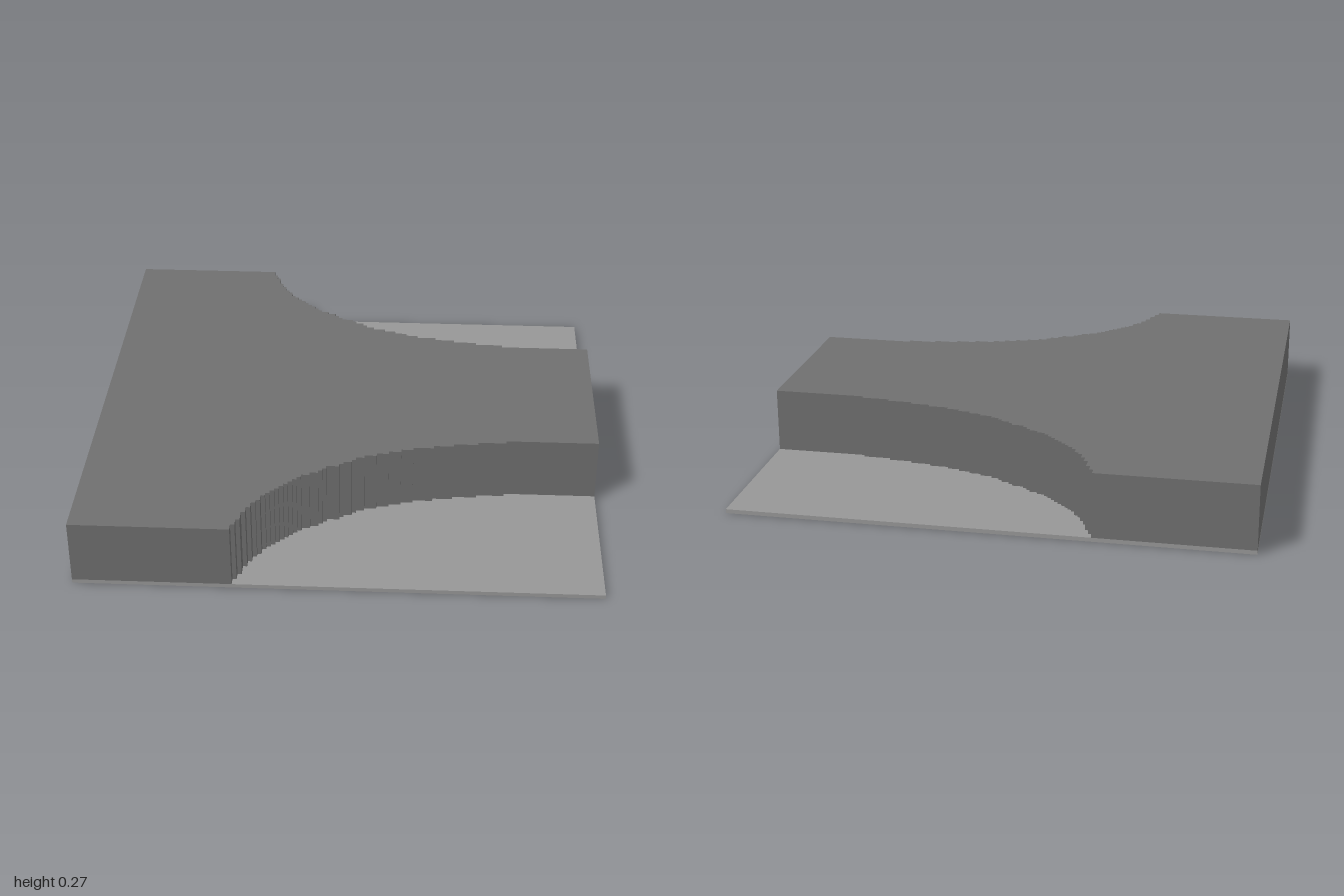
import * as THREE from 'three';

const U = 2 / 126; // one grid cell
const HALF = 63;   // half the width, in cells

// Columns (in cells, right to left) at which the curved wall steps outward by one cell
const SINGLE_STEPS = [40, 33, 27, 22, 17, 14, 11, 8, 5, 3, 2, 0, -1, -4, -5, -6, -8, -10,
  -11, -12, -13, -14, -15, -16, -17, -18];
// Steeper end of the curve: [column, new half width]
const STEEP_STEPS = [[-19, 51], [-20, 52], [-21, 54], [-22, 56], [-23, 59], [-24, 61], [-25, HALF]];

// Stepped outline of one side, from the narrow end to the wide end
function sideOutline() {
  let w = 23;
  const points = [[HALF, w]];
  const step = (x, next) => {
    points.push([x, w], [x, next]);
    w = next;
  };
  SINGLE_STEPS.forEach((x) => step(x, w + 1));
  STEEP_STEPS.forEach(([x, next]) => step(x, next));
  points.push([-HALF, HALF]);
  return points;
}

export function createModel() {
  const group = new THREE.Group();
  const darkGrey = new THREE.MeshStandardMaterial({ name: 'darkGrey', color: 0x6f6f6f });
  const lightGrey = new THREE.MeshStandardMaterial({ name: 'lightGrey', color: 0x979797 });

  // Thin square floor under everything
  const floor = new THREE.Mesh(new THREE.BoxGeometry(2, U, 2), lightGrey);
  floor.name = 'floorPlate';
  floor.position.y = U / 2;
  group.add(floor);

  // Raised slab narrowing along mirrored stepped curves
  const side = sideOutline();
  const mirrored = side.map(([x, w]) => [x, -w]).reverse();
  const shape = new THREE.Shape(
    [...side, ...mirrored].map(([x, w]) => new THREE.Vector2(x * U, w * U)));
  const slabGeometry = new THREE.ExtrudeGeometry(shape, { depth: 16 * U, bevelEnabled: false });
  slabGeometry.rotateX(-Math.PI / 2);
  const slab = new THREE.Mesh(slabGeometry, darkGrey);
  slab.name = 'raisedSlab';
  slab.position.y = U;
  group.add(slab);

  return group;
}
